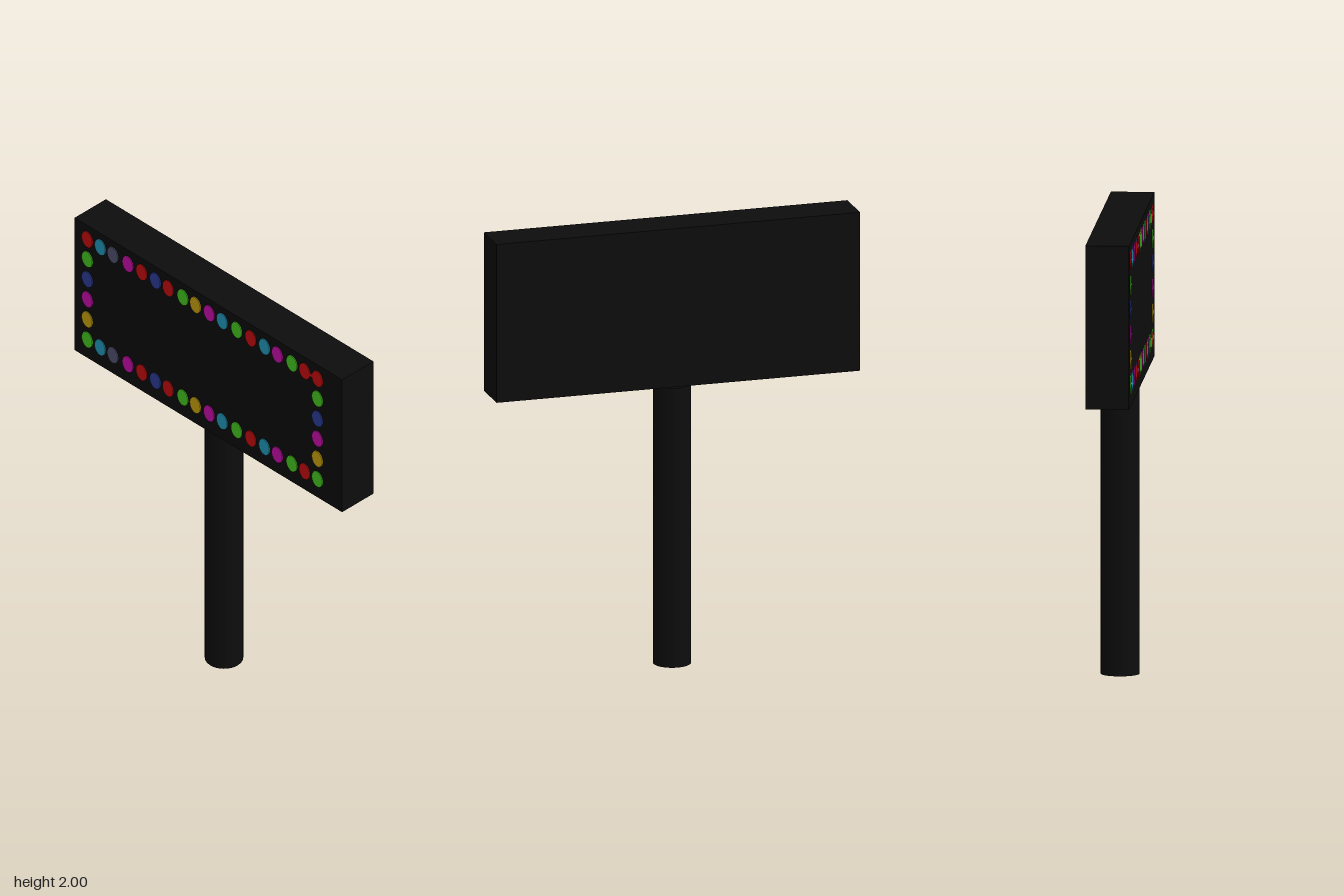
import * as THREE from 'three';

const material = (name, color) => {
  const m = new THREE.MeshStandardMaterial({ color });
  m.name = name;
  return m;
};

export function createModel() {
  const black = material('black', 0x0d0d0d);
  const paint = {
    r: material('red', 0xd80f10),
    c: material('cyan', 0x24a6cc),
    s: material('slate', 0x5a5a7c),
    m: material('magenta', 0xd80fb8),
    b: material('blue', 0x3044a8),
    g: material('green', 0x4cd824),
    y: material('yellow', 0xd8b010),
  };

  const group = new THREE.Group();
  group.name = 'lightedSign';
  const add = (name, geometry, mat, x, y, z, parent = group) => {
    const mesh = new THREE.Mesh(geometry, mat);
    mesh.name = name;
    mesh.position.set(x, y, z);
    parent.add(mesh);
    return mesh;
  };

  // Round post and sign box, with a hairline gap between them
  add('post', new THREE.CylinderGeometry(0.084, 0.084, 1.27, 32), black, 0, 0.635, -0.002);
  add('signBoard', new THREE.BoxGeometry(1.655, 0.72, 0.191), black, 0, 1.64, -0.002);

  // Border of oval bulbs, set just proud of the front face
  const bulbs = new THREE.Group();
  bulbs.name = 'bulbs';
  group.add(bulbs);
  const oval = new THREE.CylinderGeometry(1, 1, 0.008, 24);
  oval.rotateX(Math.PI / 2).scale(0.033, 0.041, 1);
  const bulb = (key, x, y) => add('bulb', oval, paint[key], x, y, 0.0935, bulbs);

  const columns = [-0.748, -0.668, -0.59, -0.497, -0.412, -0.327, -0.248, -0.157, -0.079,
    0.006, 0.086, 0.176, 0.263, 0.348, 0.428, 0.518, 0.597, 0.676];
  const rows = [['rcsmrbrgymcgrcmgrr', 1.925], ['gcsmrbrgymcgrcmgrg', 1.38]];
  for (const [keys, y] of rows) columns.forEach((x, i) => bulb(keys[i], x, y));
  for (const x of [columns[0], columns[17]]) {
    [...'gbmy'].forEach((key, i) => bulb(key, x, 1.817 - i * 0.109));
  }

  // Small bridge joining the last two red bulbs
  add('bulbBridge', new THREE.BoxGeometry(0.04, 0.014, 0.006), paint.r, 0.637, 1.925, 0.0935, bulbs);

  // Tiny lamps on the underside
  const lamp = new THREE.CylinderGeometry(0.018, 0.018, 0.004, 16);
  add('undersideLampLeft', lamp, paint.s, 0.66, 1.279, 0.058);
  add('undersideLampRight', lamp, paint.r, -0.705, 1.279, 0.058);

  return group;
}
